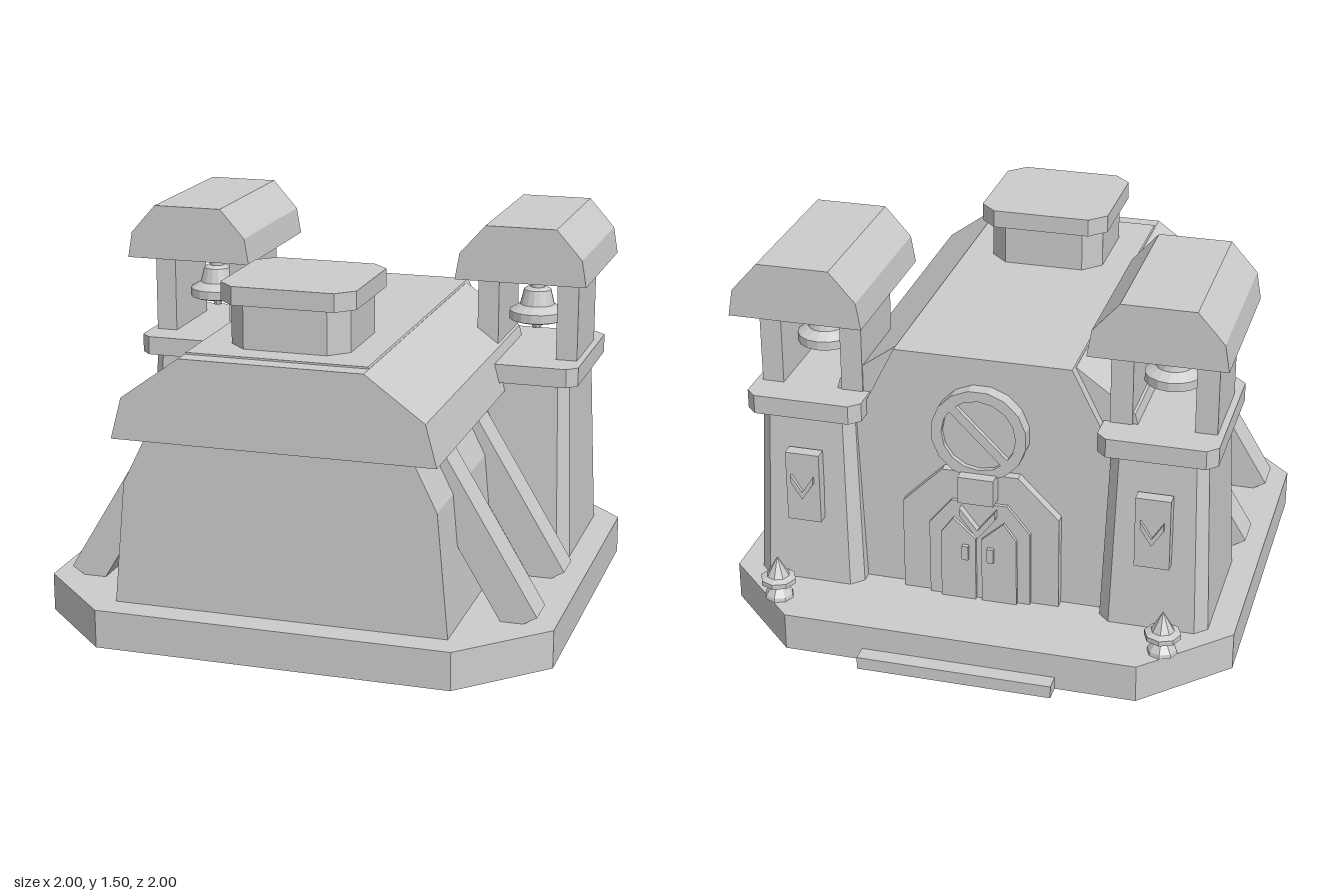
import * as THREE from 'three';

const stone = new THREE.MeshStandardMaterial({ color: 0xcccccc, flatShading: true, side: THREE.DoubleSide });
stone.name = 'stone';

function add(parent, name, geo, x = 0, y = 0, z = 0) {
  const m = new THREE.Mesh(geo, stone);
  m.name = name;
  m.position.set(x, y, z);
  parent.add(m);
  return m;
}

const shapeOf = pts => new THREE.Shape(pts.map(p => new THREE.Vector2(p[0], p[1])));
const mirrored = half => [...half, ...half.slice().reverse().map(([x, y]) => [-x, y])];

// Outline in x,y pushed along z from z0 to z1
function slab(pts, z0, z1) {
  return new THREE.ExtrudeGeometry(shapeOf(pts), { depth: z1 - z0, bevelEnabled: false }).translate(0, 0, z0);
}

// Outline in x,z raised from y = 0 to h, its top scaled by taper
function prism(pts, h, taper = 1) {
  const g = new THREE.ExtrudeGeometry(shapeOf(pts.map(([x, z]) => [x, -z])), { depth: h, bevelEnabled: false });
  g.rotateX(-Math.PI / 2);
  const p = g.attributes.position;
  for (let i = 0; i < p.count; i++) {
    if (p.getY(i) > h / 2) p.setXYZ(i, p.getX(i) * taper, p.getY(i), p.getZ(i) * taper);
  }
  g.computeVertexNormals();
  return g;
}

// Rectangle with cut corners
const cutRect = (a, b, c) => mirrored([[a - c, b], [a, b - c], [a, c - b], [a - c, -b]]);

// Remove the faces lying on the ground, leaving an open shell
function openBottom(g) {
  const s = g.attributes.position.array, kept = [];
  for (let i = 0; i < s.length; i += 9) {
    if (Math.max(s[i + 1], s[i + 4], s[i + 7]) > 0.001) kept.push(...s.slice(i, i + 9));
  }
  const out = new THREE.BufferGeometry();
  out.setAttribute('position', new THREE.Float32BufferAttribute(kept, 3));
  out.computeVertexNormals();
  return out;
}

const lathe = (pts, sides) => new THREE.LatheGeometry(pts.map(p => new THREE.Vector2(p[0], p[1])), sides);
const box = (w, h, d) => new THREE.BoxGeometry(w, h, d);
const chevron = (w, h, t) => [[-w, h], [0, 0], [w, h], [w, h + t], [0, t], [-w, h + t]];

function tower(side) {
  const g = new THREE.Group();
  g.name = side > 0 ? 'leftTower' : 'rightTower';
  g.position.set(0.686 * side, 0, -0.355);
  add(g, 'towerShaft', prism(cutRect(0.212, 0.303, 0.045), 0.72, 0.87), 0, 0.15);
  add(g, 'towerLedge', prism(cutRect(0.228, 0.315, 0.04), 0.075), 0, 0.865);
  for (const s of [-1, 1]) add(g, 'belfryPost', box(0.085, 0.34, 0.355), 0.16 * s, 1.11, 0);
  add(g, 'belfryRoof', slab(mirrored([[0.26, 1.275], [0.242, 1.38], [0.14, 1.495]]), -0.335, 0.335));
  // Bell with its hanger and clapper
  add(g, 'bell', lathe([[0, 1.065], [0.1, 1.055], [0.112, 1.06], [0.112, 1.095], [0.07, 1.12],
    [0.055, 1.18], [0.042, 1.188], [0.03, 1.19], [0.03, 1.235], [0.02, 1.24], [0.02, 1.28]], 16));
  add(g, 'clapper', lathe([[0, 1.02], [0.018, 1.02], [0.02, 1.035], [0.012, 1.07]], 8));
  // Plaque with a chevron
  add(g, 'plaque', box(0.135, 0.29, 0.05), 0, 0.575, -0.305);
  add(g, 'plaqueChevron', slab(chevron(0.045, 0.07, 0.03), -0.345, -0.325), 0, 0.53);
  return g;
}

function buttress(side, z) {
  const dir = new THREE.Vector2(0.515, 0.857), len = 0.95, w = 0.135;
  const a = [-0.93, 0.18], b = [a[0] + w * dir.y, a[1] - w * dir.x];
  const far = p => [p[0] + dir.x * len, p[1] + dir.y * len];
  let pts = [a, b, far(b), far(a)];
  if (side > 0) pts = pts.map(([x, y]) => [-x, y]);
  return slab(pts, z - 0.07, z + 0.07);
}

export function createModel() {
  const root = new THREE.Group();
  root.name = 'chapel';

  // Plinth and step, hollow underneath
  add(root, 'plinth', openBottom(prism(mirrored([[0.69, 1], [1, 0.69], [1, -0.625], [0.69, -0.935]]), 0.15)));
  add(root, 'step', openBottom(prism([[-0.38, -1], [0.38, -1], [0.38, -0.935], [-0.38, -0.935]], 0.05)));

  // Hall and its roof
  add(root, 'hall', slab(mirrored([[0.65, 0.15], [0.605, 0.63], [0.345, 1.152]]), -0.567, 0.89));
  add(root, 'hallRoof', slab(mirrored([[0.62, 0.82], [0.577, 0.98], [0.35, 1.145]]), -0.525, 0.96));

  // Roof turret
  add(root, 'turret', prism(cutRect(0.23, 0.222, 0.07), 0.19), 0, 1.13, 0.565);
  add(root, 'turretCap', prism(cutRect(0.26, 0.257, 0.065), 0.07), 0, 1.32, 0.555);

  for (const side of [-1, 1]) {
    root.add(tower(side));
    for (const z of [0.098, 0.592]) add(root, 'buttress', buttress(side, z));
    // Corner lamp
    add(root, 'lamp', lathe([[0, 0.15], [0.058, 0.15], [0.055, 0.165], [0.032, 0.195], [0.07, 0.215],
      [0.07, 0.235], [0.045, 0.245], [0, 0.325]], 8), 0.76 * side, 0, -0.805);
  }

  // Doorway
  const door = new THREE.Group();
  door.name = 'doorway';
  root.add(door);
  add(door, 'doorSurround', slab(mirrored([[0.31, 0.15], [0.31, 0.53], [0.15, 0.69]]), -0.605, -0.55));
  add(door, 'doorFrame', slab(mirrored([[0.2, 0.15], [0.2, 0.46], [0.11, 0.57]]), -0.62, -0.6));
  for (const s of [-1, 1]) {
    const leaf = [[0.012, 0.15], [0.15, 0.15], [0.15, 0.43], [0.1, 0.5], [0.012, 0.42]];
    add(door, 'doorLeaf', slab(leaf.map(([x, y]) => [x * s, y]), -0.635, -0.61));
    add(door, 'doorHandle', box(0.025, 0.06, 0.02), 0.05 * s, 0.36, -0.642);
  }
  add(door, 'doorChevron', slab(chevron(0.07, 0.09, 0.035), -0.65, -0.615), 0, 0.43);
  add(door, 'keystone', box(0.14, 0.11, 0.1), 0, 0.645, -0.62);

  // Round window with a diagonal bar
  const win = new THREE.Group();
  win.name = 'roundWindow';
  win.position.set(0, 0.86, 0);
  root.add(win);
  const ring = shapeOf(Array.from({ length: 16 }, (_, i) => {
    const a = (i + 0.5) * Math.PI / 8;
    return [0.187 * Math.cos(a), 0.187 * Math.sin(a)];
  }));
  ring.holes.push(new THREE.Path().absarc(0, 0, 0.145, 0, Math.PI * 2, true));
  add(win, 'windowRing', new THREE.ExtrudeGeometry(ring, { depth: 0.07, bevelEnabled: false, curveSegments: 8 }), 0, 0, -0.625);
  add(win, 'windowPane', new THREE.CylinderGeometry(0.15, 0.15, 0.04, 16).rotateX(Math.PI / 2), 0, 0, -0.585);
  add(win, 'windowBar', box(0.29, 0.035, 0.03), 0, 0, -0.61).rotation.z = Math.PI / 4;

  return root;
}
